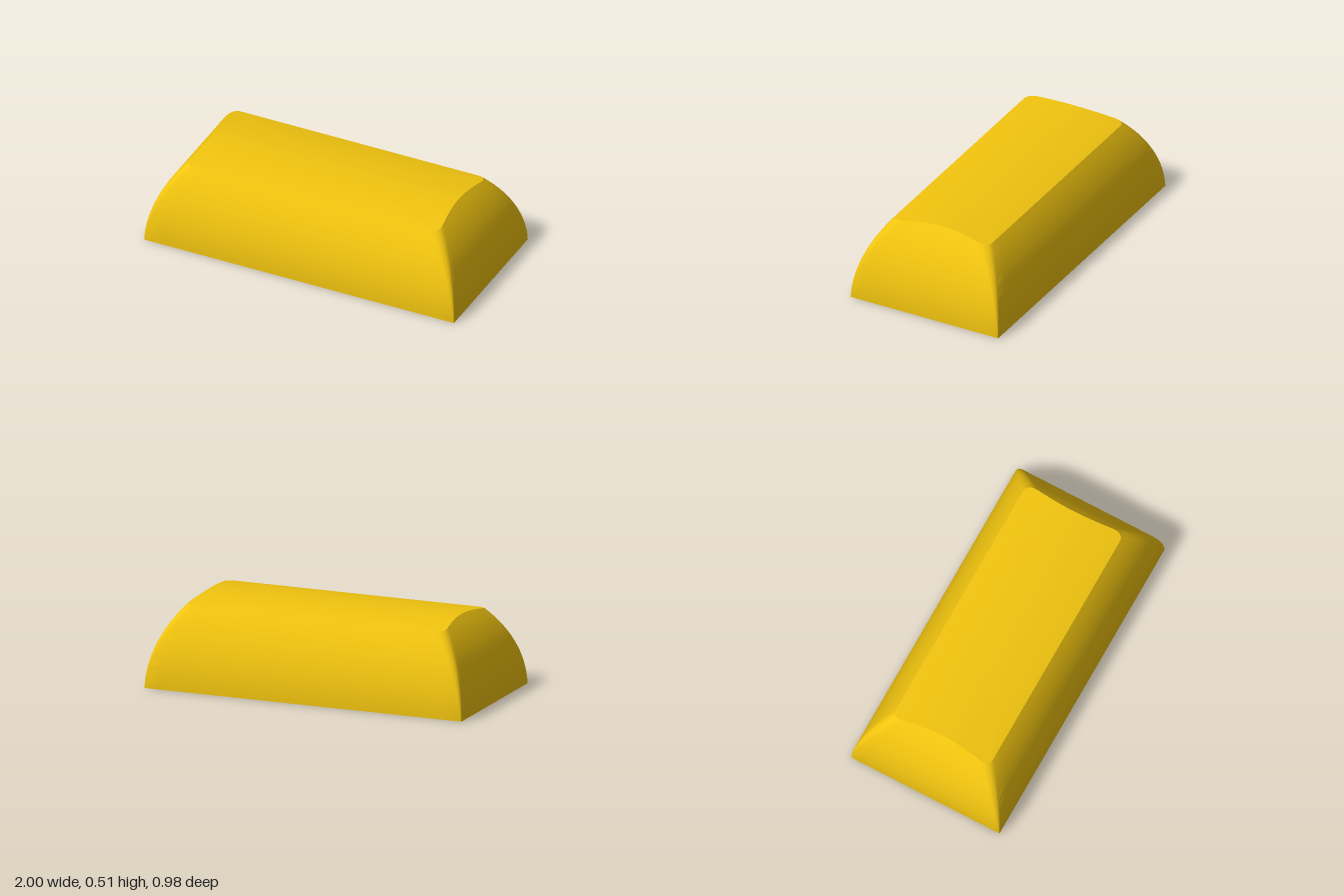
import * as THREE from 'three';
import { toCreasedNormals } from 'three/addons/utils/BufferGeometryUtils.js';

const HX = 1, HZ = 0.49;       // half size of the base
const R = 0.75;                // radius of the bowed side walls
const RIM = 0.09;              // wall thickness at the base

const inset = y => R - Math.sqrt(R * R - y * y);
const crownY = z => 0.508 - 0.33 * z * z;

// Perimeter template of a rounded rectangle: c = place on the core, n = corner direction
const outline = [];
const SIDE = 20, ARC = 6;
for (let q = 0; q < 4; q++) {
  const turn = (x, z) => [[x, z], [-z, x], [-x, -z], [z, -x]][q];
  for (let i = 0; i < SIDE; i++) outline.push({ c: turn(1, -1 + (2 * i) / SIDE), n: turn(1, 0) });
  for (let i = 0; i < ARC; i++) {
    const a = (i / ARC) * Math.PI / 2;
    outline.push({ c: turn(1, 1), n: turn(Math.cos(a), Math.sin(a)) });
  }
}

const place = ({ c, n }, hx, hz, r) => [c[0] * (hx - r) + n[0] * r, c[1] * (hz - r) + n[1] * r];

const flatRing = (hx, hz, y) => outline.map(p => {
  const [x, z] = place(p, hx, hz, 0);
  return [x, y, z];
});

// Ring of the outer wall; t runs from the base (0) to the crown edge (1)
function wallRing(t) {
  return outline.map(p => {
    const topZ = place(p, 0.8, 0.32, 0.05)[1];
    const y = t * crownY(topZ), d = inset(y);
    const [x, z] = place(p, HX - 1.06 * d, HZ - d, 0.004 + 0.05 * t);
    return [x, y, z];
  });
}

// Ring of the crown, shrinking to the centre as s goes to 0
const crownRing = s => wallRing(1).map(([x, , z], i) =>
  [x * s, crownY(place(outline[i], 0.8, 0.32, 0.05)[1] * s), z * s]);

// Skin a chain of rings
function loft(rings, crease) {
  const n = outline.length, index = [];
  for (let j = 0; j < rings.length - 1; j++) {
    for (let i = 0; i < n; i++) {
      const a = j * n + i, b = j * n + (i + 1) % n;
      index.push(a, a + n, b, b, a + n, b + n);
    }
  }
  const g = new THREE.BufferGeometry();
  g.setAttribute('position', new THREE.Float32BufferAttribute(rings.flat(2), 3));
  g.setIndex(index);
  return toCreasedNormals(g, crease);
}

export function createModel() {
  const group = new THREE.Group();
  group.name = 'keycap';
  const material = new THREE.MeshStandardMaterial({ color: 0xf1c40f });
  const add = (name, rings, crease = 0.5) => {
    const mesh = new THREE.Mesh(loft(rings, crease), material);
    mesh.name = name;
    group.add(mesh);
  };
  const steps = (n, f) => Array.from({ length: n + 1 }, (_, i) => f(i / n));

  // Bowed walls and the crown, arched from front to back
  add('outerShell', [...steps(16, wallRing), ...steps(10, s => crownRing(1 - s)).slice(1)]);

  // Hollow underside: ceiling, tapered inner walls, flat bottom rim
  add('cavity', [
    flatRing(0, 0, 0.42),
    flatRing(HX - 2 * RIM, HZ - 2 * RIM, 0.42),
    flatRing(HX - RIM, HZ - RIM, 0),
    wallRing(0),
  ]);
  return group;
}
